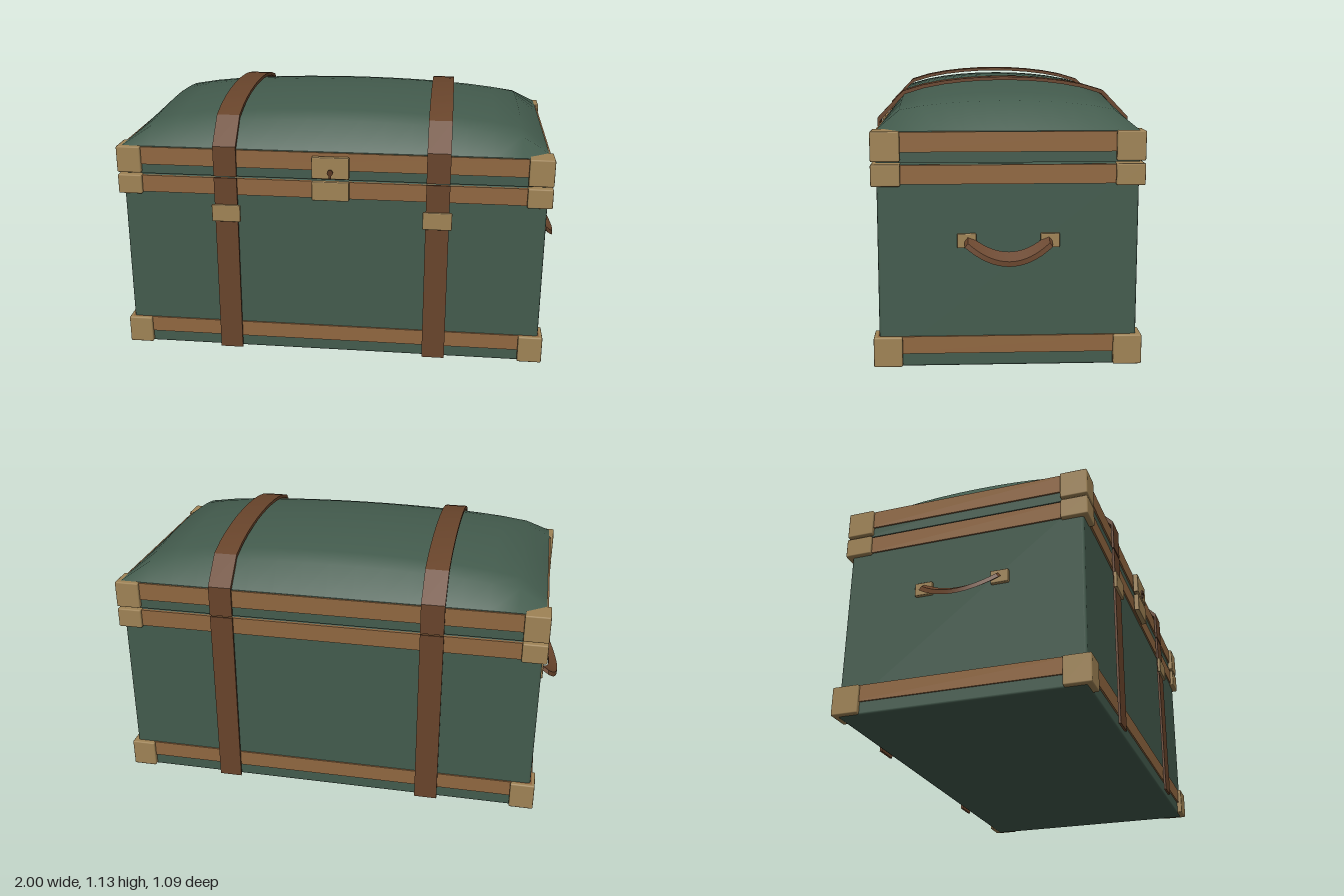
import * as THREE from 'three';
import { toCreasedNormals } from 'three/addons/utils/BufferGeometryUtils.js';
import { RoundedBoxGeometry } from 'three/addons/geometries/RoundedBoxGeometry.js';

const mat = (name, color) => new THREE.MeshStandardMaterial({ name, color });

export function createModel() {
  const green = mat('green canvas', 0x435b4d);
  const tan = mat('tan leather', 0x906740);
  const brown = mat('brown leather', 0x68442b);
  const brass = mat('aged brass', 0x9f8355);
  const dark = mat('dark leather', 0x563520);

  const model = new THREE.Group();
  model.name = 'trunk';
  const chest = new THREE.Group();
  chest.name = 'chest';
  chest.position.z = -0.007;
  model.add(chest);

  const add = (name, geometry, material, x = 0, y = 0, z = 0, parent = chest) => {
    const mesh = new THREE.Mesh(geometry, material);
    mesh.name = name;
    mesh.position.set(x, y, z);
    parent.add(mesh);
    return mesh;
  };
  // box given by its lower and upper height
  const slab = (name, material, w, y0, y1, d, x = 0, z = 0, bevel = 0) => {
    const h = y1 - y0;
    const geometry = bevel
      ? new RoundedBoxGeometry(w, h, d, 1, bevel)
      : new THREE.BoxGeometry(w, h, d);
    return add(name, geometry, material, x, (y0 + y1) / 2, z);
  };

  const HX = 0.915, HZ = 0.51, RIM = 0.94, RISE = 0.175;
  const bulge = (u) => Math.pow(Math.max(0, Math.cos(u * Math.PI / 2)), 0.3);

  // body and lid frame
  slab('body', green, HX * 2, 0, 0.812, HZ * 2, 0, 0, 0.01);
  slab('lidFrame', green, HX * 2, 0.818, RIM, HZ * 2);

  // pillow-shaped lid top
  const dome = new THREE.PlaneGeometry(HX * 2, HZ * 2, 16, 12);
  dome.rotateX(-Math.PI / 2);
  const p = dome.attributes.position;
  for (let i = 0; i < p.count; i++) {
    const h = bulge(p.getX(i) / HX) * bulge(p.getZ(i) / HZ);
    p.setY(i, h < 0.001 ? 0 : RISE * h);
  }
  dome.computeVertexNormals();
  add('lidDome', dome, green, 0, RIM, 0);

  // leather bands around the chest
  for (const [name, y0, y1] of [
    ['bottomBand', 0.055, 0.125],
    ['upperBand', 0.735, 0.81],
    ['lidBand', 0.86, 0.938],
  ]) slab(name, tan, HX * 2 + 0.014, y0, y1, HZ * 2 + 0.014);

  // brass corner caps
  for (const sx of [-1, 1]) for (const sz of [-1, 1]) {
    for (const [name, y0, y1] of [
      ['bottomCorner', 0.004, 0.125],
      ['upperCorner', 0.728, 0.814],
      ['lidCorner', 0.824, 0.941],
    ]) slab(name, brass, 0.106, y0, y1, 0.114, sx * 0.882, sz * 0.475, 0.006);
  }

  // straps: an arch over the lid, with hanging strips front and back
  const outer = [new THREE.Vector2(-0.533, 0.955)];
  for (let i = 1; i < 12; i++) {
    const u = -1 + i / 6;
    outer.push(new THREE.Vector2(u * HZ, RIM + 0.011 + RISE * bulge(u)));
  }
  outer.push(new THREE.Vector2(0.533, 0.955));
  const inner = outer.map((q) => new THREE.Vector2(q.x * 0.98, q.y - 0.014)).reverse();
  const arch = new THREE.ExtrudeGeometry(new THREE.Shape([...outer, ...inner]), {
    depth: 0.1, bevelEnabled: false,
  });
  arch.translate(0, 0, -0.05);
  arch.rotateY(-Math.PI / 2);
  const archSmooth = toCreasedNormals(arch, 0.45);
  for (const sx of [-1, 1]) {
    const x = sx * 0.457;
    add('strapArch', archSmooth, brown, x);
    for (const sz of [-1, 1]) {
      slab('lidStrap', brown, 0.1, 0.822, 0.955, 0.01, x, sz * 0.528);
      slab('bodyStrap', brown, 0.1, 0.003, 0.815, 0.01, x, sz * 0.528);
    }
    slab('buckle', brass, 0.125, 0.618, 0.695, 0.016, x, 0.536, 0.004);
  }

  // lock plates with keyhole
  slab('lockHasp', brass, 0.16, 0.83, 0.925, 0.024, 0, 0.533, 0.004);
  slab('lockPlate', brass, 0.16, 0.732, 0.817, 0.024, 0, 0.533, 0.004);
  const keyhole = add('keyhole', new THREE.CylinderGeometry(0.013, 0.013, 0.008, 12), dark, 0, 0.86, 0.549);
  keyhole.rotation.x = Math.PI / 2;
  slab('keyholeSlot', dark, 0.01, 0.834, 0.86, 0.006, 0, 0.548);

  // sagging side handles: a flat bar bent down and outwards
  const SPAN = 0.165;
  const bar = new THREE.BoxGeometry(0.042, 0.02, SPAN * 2, 1, 1, 16);
  const b = bar.attributes.position;
  for (let i = 0; i < b.count; i++) {
    const s = b.getZ(i) / SPAN, off = b.getY(i);
    const arc = 1 - s * s;
    const angle = Math.atan2(2 * 0.065 * s, SPAN);
    b.setXYZ(i,
      b.getX(i) + 0.936 + 0.043 * arc,
      0.515 - 0.065 * arc + off * Math.cos(angle) - b.getX(i) * 0.7,
      b.getZ(i) - off * Math.sin(angle));
  }
  const barSmooth = toCreasedNormals(bar, 0.6);
  for (const sx of [-1, 1]) {
    const side = new THREE.Group();
    side.name = sx > 0 ? 'leftHandle' : 'rightHandle';
    side.rotation.y = sx > 0 ? 0 : Math.PI;
    chest.add(side);
    add('handleBar', barSmooth, brown, 0, 0, 0, side);
    for (const sz of [-1, 1]) {
      add('handlePlate', new RoundedBoxGeometry(0.024, 0.056, 0.075, 1, 0.004), brass,
        0.919, 0.512, sz * 0.163, side);
    }
  }
  return model;
}
